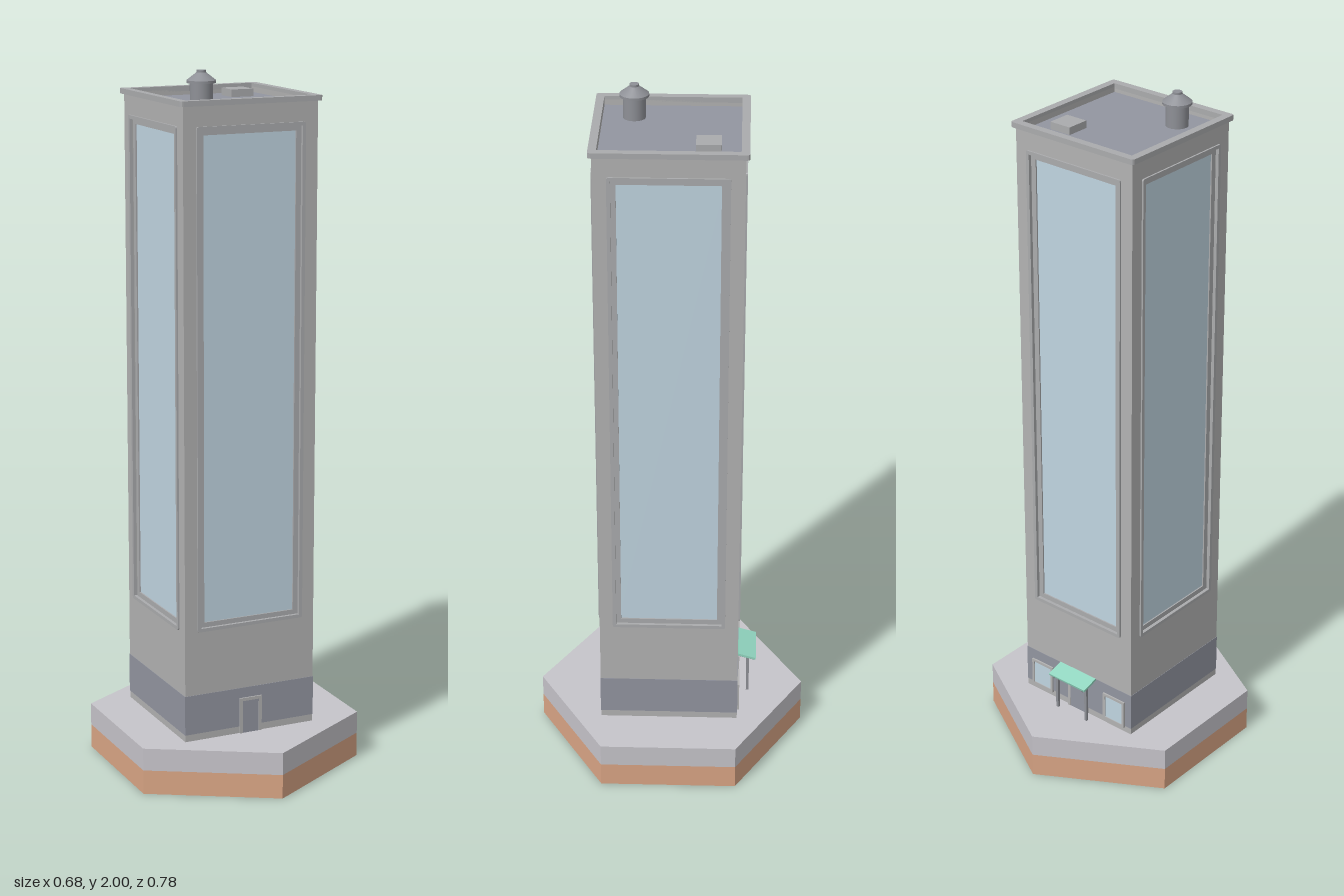
import * as THREE from 'three';

const mat = (color) => new THREE.MeshStandardMaterial({ color });
const wallMat = mat(0xb2b2b2), trimMat = mat(0xaaabad), stoneMat = mat(0xc6c4ca), soilMat = mat(0xd9a585);
const bandMat = mat(0x9295a0), glassMat = mat(0xc0d4e0), greenMat = mat(0x92d6c0), metalMat = mat(0x8e9096);

function add(parent, name, geometry, material, x = 0, y = 0, z = 0) {
  const mesh = new THREE.Mesh(geometry, material);
  mesh.name = name;
  mesh.position.set(x, y, z);
  parent.add(mesh);
  return mesh;
}
const box = (w, h, d) => new THREE.BoxGeometry(w, h, d);

// Rectangle outline, optionally with rounded corners
function rect(Type, x0, y0, x1, y1, r = 0) {
  const s = new Type();
  if (!r) {
    s.moveTo(x0, y0).lineTo(x1, y0).lineTo(x1, y1).lineTo(x0, y1).closePath();
    return s;
  }
  s.moveTo(x0 + r, y0).lineTo(x1 - r, y0).quadraticCurveTo(x1, y0, x1, y0 + r);
  s.lineTo(x1, y1 - r).quadraticCurveTo(x1, y1, x1 - r, y1);
  s.lineTo(x0 + r, y1).quadraticCurveTo(x0, y1, x0, y1 - r);
  s.lineTo(x0, y0 + r).quadraticCurveTo(x0, y0, x0 + r, y0);
  return s;
}

// Flat ring: outer rectangle with a rectangular hole
function ring(outer, inner, depth, r = 0) {
  const s = rect(THREE.Shape, ...outer, r);
  s.holes.push(rect(THREE.Path, ...inner));
  return new THREE.ExtrudeGeometry(s, { depth, bevelEnabled: false, curveSegments: 3 });
}

// One tower side: wall panel, moulding, stepped frame and tall glass
function makeSide(width) {
  const side = new THREE.Group();
  const hw = width / 2;
  add(side, 'wallPanel', ring([-hw, 0.135, hw, 1.92], [-0.154, 0.463, 0.154, 1.852], 0.0125), wallMat, 0, 0, 0.1875);
  add(side, 'windowMoulding', ring([-0.162, 0.455, 0.162, 1.86], [-0.152, 0.465, 0.152, 1.85], 0.009, 0.006), trimMat, 0, 0, 0.196);
  add(side, 'windowFrame', ring([-0.155, 0.462, 0.155, 1.853], [-0.138, 0.478, 0.138, 1.836], 0.006), trimMat, 0, 0, 0.1875);
  add(side, 'windowGlass', box(0.29, 1.37, 0.004), glassMat, 0, 1.157, 0.1875);
  return side;
}

// Hexagonal plot
function makeBase() {
  const base = new THREE.Group();
  base.name = 'base';
  for (const [name, y, h, m] of [['soil', 0.035, 0.07, soilMat], ['paving', 0.1025, 0.065, stoneMat]]) {
    const g = new THREE.CylinderGeometry(0.391, 0.391, h, 6).toNonIndexed();
    g.computeVertexNormals();
    add(base, name, g, m, 0, y, 0);
  }
  return base;
}

// Roof deck, parapet, hatch and vent
function makeRoof() {
  const roof = new THREE.Group();
  roof.name = 'roof';
  add(roof, 'roofDeck', box(0.38, 0.01, 0.38), bandMat, 0, 1.9, 0);
  const parapet = add(roof, 'parapet', ring([-0.21, -0.21, 0.21, 0.21], [-0.1875, -0.1875, 0.1875, 0.1875], 0.015, 0.008), trimMat, 0, 1.93, 0);
  parapet.rotation.x = Math.PI / 2;
  add(roof, 'hatch', box(0.067, 0.022, 0.067), trimMat, 0.102, 1.915, -0.102);
  const profile = [[0.031, 1.9], [0.031, 1.966], [0.04, 1.966], [0.04, 1.973], [0.013, 1.994], [0.013, 2], [0, 2]];
  // Repeated points keep the profile's corners sharp
  const pts = profile.flatMap(([x, y]) => [new THREE.Vector2(x, y)]);
  for (let i = 0; i < pts.length - 1; i++) {
    add(roof, 'vent', new THREE.LatheGeometry([pts[i], pts[i + 1]], 24), metalMat, -0.102, 0, 0.102);
  }
  return roof;
}

// Three-sided door surround with its leaf
function makeDoor(w, h, name) {
  const door = new THREE.Group();
  door.name = name;
  for (const s of [-1, 1]) add(door, 'doorJamb', box(0.009, h, 0.006), wallMat, s * (w / 2 - 0.0045), h / 2, 0);
  add(door, 'doorHead', box(w, 0.009, 0.006), wallMat, 0, h - 0.0045, 0);
  add(door, 'doorLeaf', box(w - 0.018, h - 0.009, 0.003), bandMat, 0, (h - 0.009) / 2, 0);
  return door;
}

// Rear entrance: door, two small windows and a canopy on posts
function makeEntrance() {
  const e = new THREE.Group();
  e.name = 'rearEntrance';
  const door = makeDoor(0.075, 0.105, 'rearDoor');
  door.position.set(0, 0.135, -0.202);
  e.add(door);
  for (const s of [-1, 1]) {
    add(e, 'smallWindowFrame', ring([-0.04, 0.15, 0.04, 0.238], [-0.032, 0.158, 0.032, 0.23], 0.006), wallMat, s * 0.138, 0, -0.206);
    add(e, 'smallWindowGlass', box(0.066, 0.074, 0.003), glassMat, s * 0.138, 0.194, -0.202);
    add(e, 'canopyPost', box(0.008, 0.122, 0.008), metalMat, s * 0.055, 0.196, -0.23);
    const arm = add(e, 'canopyArm', box(0.006, 0.006, 0.048), metalMat, s * 0.055, 0.254, -0.226);
    arm.rotation.x = -0.28;
  }
  add(e, 'canopyBeam', box(0.118, 0.007, 0.007), metalMat, 0, 0.25, -0.23);
  const canopy = add(e, 'canopy', box(0.136, 0.007, 0.054), greenMat, 0, 0.262, -0.227);
  canopy.rotation.x = -0.28;
  return e;
}

export function createModel() {
  const model = new THREE.Group();
  model.add(makeBase());

  const tower = new THREE.Group();
  tower.name = 'tower';
  tower.position.set(-0.012, 0, 0.002);
  model.add(tower);

  for (let i = 0; i < 4; i++) {
    const side = makeSide(i % 2 ? 0.375 : 0.4);
    side.name = ['frontSide', 'leftSide', 'backSide', 'rightSide'][i];
    side.rotation.y = i * Math.PI / 2;
    tower.add(side);
  }
  add(tower, 'groundFloorBand', box(0.402, 0.115, 0.402), bandMat, 0, 0.2125, 0);
  tower.add(makeRoof(), makeEntrance());

  const door = makeDoor(0.068, 0.105, 'frontDoor');
  door.position.set(0.002, 0.135, 0.202);
  tower.add(door);
  return model;
}
